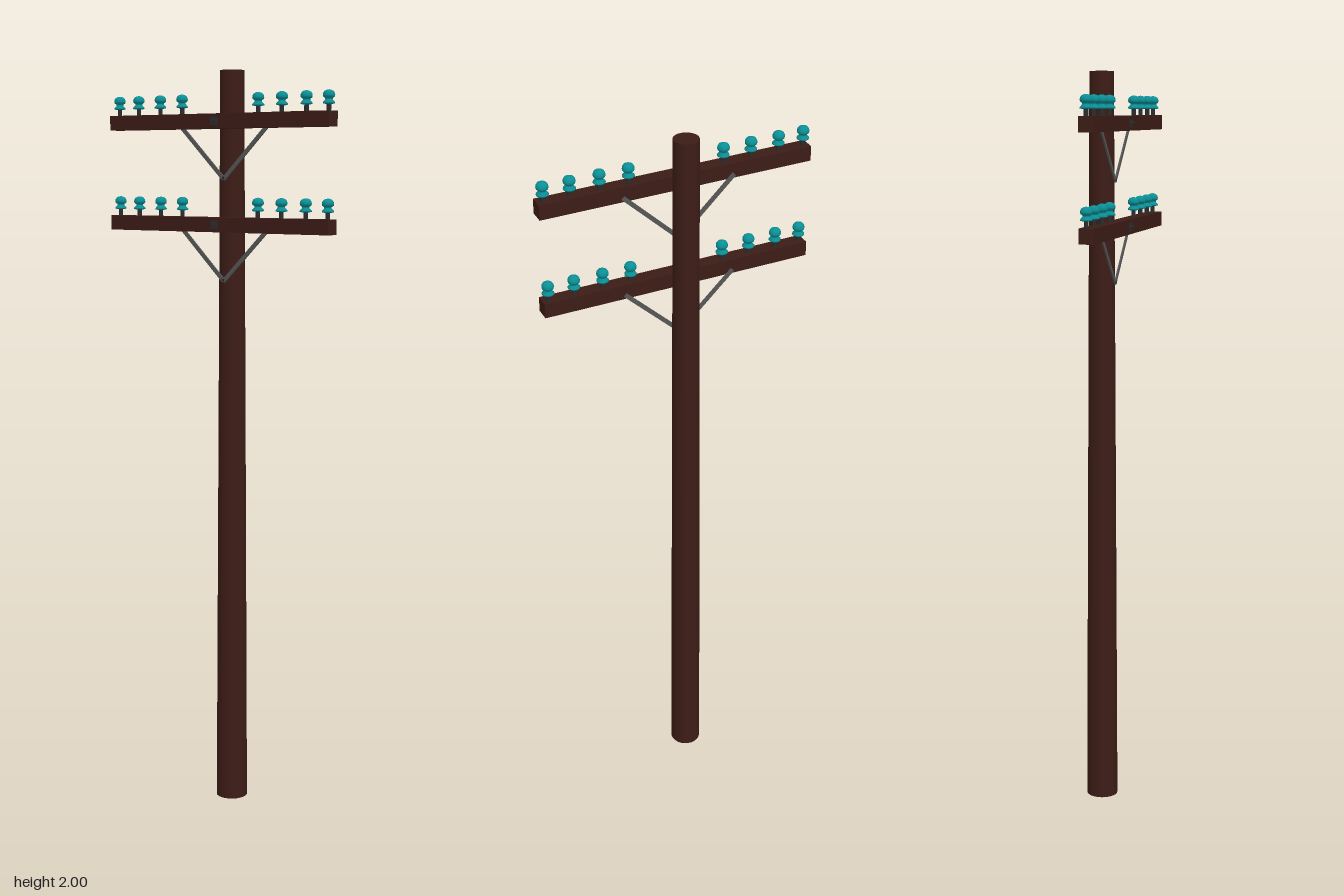
import * as THREE from 'three';

const wood = new THREE.MeshStandardMaterial({ color: 0x3c1c16 });
const glass = new THREE.MeshStandardMaterial({ color: 0x0a9096 });
const steel = new THREE.MeshStandardMaterial({ color: 0x565656 });
const darkSteel = new THREE.MeshStandardMaterial({ color: 0x2c2c2e });

const ARM = { length: 0.722, height: 0.039, depth: 0.039, z: 0.0355 };
const INSULATOR_X = [0.126, 0.201, 0.277, 0.345];

function add(parent, name, geometry, material, x = 0, y = 0, z = 0) {
  const mesh = new THREE.Mesh(geometry, material);
  mesh.name = name;
  mesh.position.set(x, y, z);
  parent.add(mesh);
  return mesh;
}

// Two-skirted glass insulator profile with a domed cap
const insulatorProfile = [
  [0, 0.015], [0.009, 0.015], [0.0155, 0.0165], [0.0155, 0.019], [0.0095, 0.025],
  [0.0095, 0.028], [0.0145, 0.031], [0.0155, 0.035], [0.0145, 0.040],
  [0.0115, 0.044], [0.006, 0.0465], [0, 0.0475],
].map(([r, y]) => new THREE.Vector2(r, y * 1.1));
const insulatorGeometry = new THREE.LatheGeometry(insulatorProfile, 20);
const pinGeometry = new THREE.CylinderGeometry(0.006, 0.006, 0.024, 10);

// Flat strap from the pole up to the back of the arm
function addBrace(parent, side) {
  const from = new THREE.Vector2(0, -0.15);
  const to = new THREE.Vector2(0.148 * side, -0.008);
  const d = to.clone().sub(from);
  const brace = add(parent, 'brace', new THREE.BoxGeometry(0.011, d.length(), 0.004), steel,
    (from.x + to.x) / 2, (from.y + to.y) / 2, 0.014);
  brace.rotation.z = -Math.atan2(d.x, d.y);
}

function createCrossarm(y) {
  const arm = new THREE.Group();
  arm.name = 'crossarmAssembly';
  arm.position.y = y;
  add(arm, 'crossarm', new THREE.BoxGeometry(ARM.length, ARM.height, ARM.depth), wood, 0, 0, ARM.z);

  for (const side of [-1, 1]) {
    for (const x of INSULATOR_X) {
      const insulator = new THREE.Group();
      insulator.name = 'insulator';
      insulator.position.set(x * side, ARM.height / 2, 0.032);
      add(insulator, 'pin', pinGeometry, darkSteel, 0, 0.01, 0);
      add(insulator, 'glass', insulatorGeometry, glass);
      arm.add(insulator);
    }
    addBrace(arm, side);
  }

  // Through bolt with square washer
  add(arm, 'washer', new THREE.BoxGeometry(0.022, 0.022, 0.003), darkSteel, 0, 0, 0.0565);
  const bolt = add(arm, 'bolt', new THREE.CylinderGeometry(0.004, 0.004, 0.07, 8), darkSteel, 0, 0, 0.03);
  bolt.rotation.x = Math.PI / 2;
  // Bolt holding both braces to the pole
  const braceBolt = add(arm, 'braceBolt', new THREE.CylinderGeometry(0.004, 0.004, 0.016, 8), darkSteel, 0, -0.147, 0.01);
  braceBolt.rotation.x = Math.PI / 2;
  return arm;
}

export function createModel() {
  const model = new THREE.Group();
  model.name = 'utilityPole';
  // Tapered round pole
  add(model, 'pole', new THREE.CylinderGeometry(0.032, 0.043, 2, 24), wood, 0, 1, -0.023);
  for (const y of [1.867, 1.598]) model.add(createCrossarm(y));
  return model;
}
